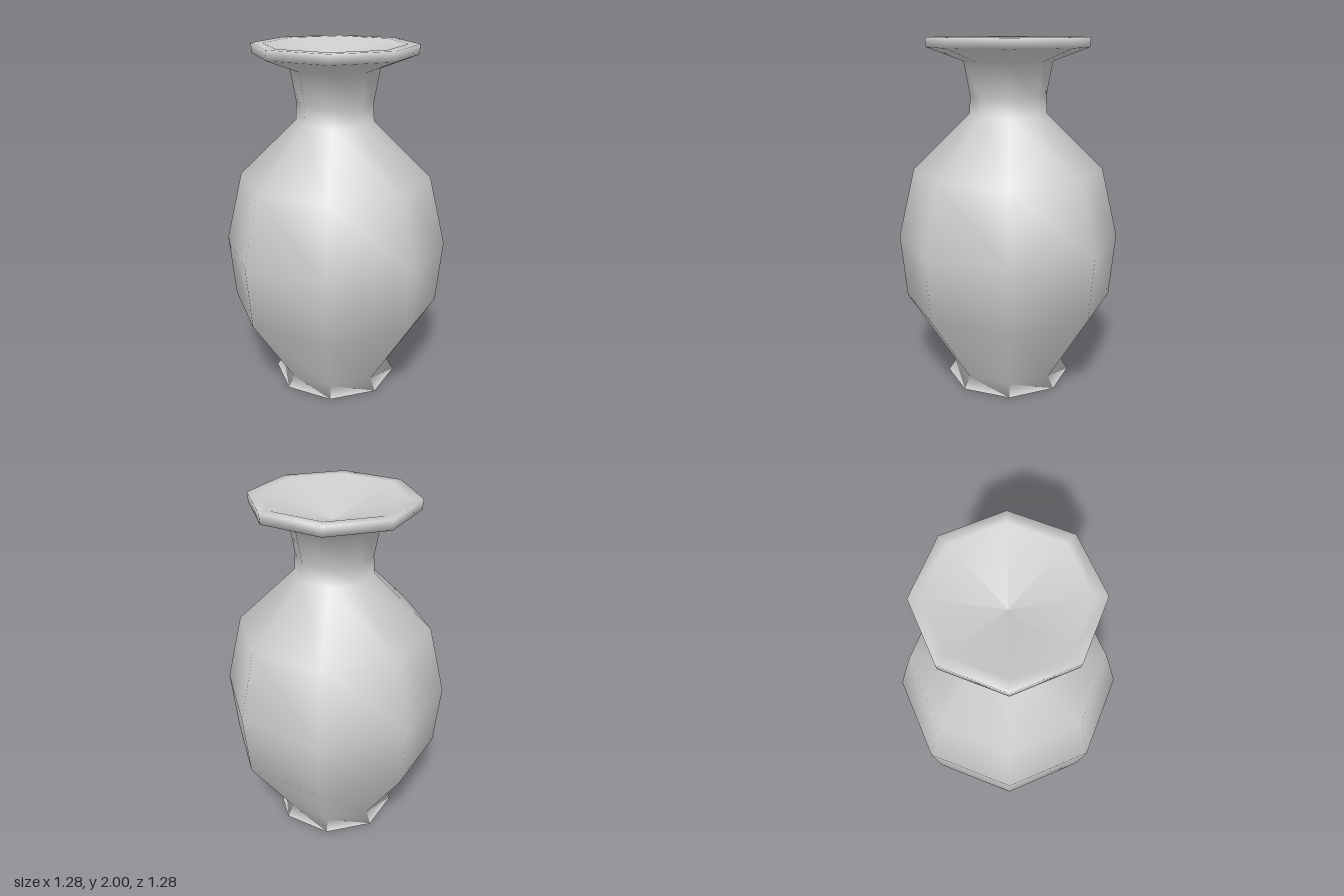
import * as THREE from 'three';

// Eight-sided turned vase with smooth shading
export function createModel() {
  const group = new THREE.Group();
  group.name = 'vase';

  // Radius and height pairs, from under the foot up and over the lip
  const profile = [
    [0, 0.085], [0.28, 0.085],                 // recessed underside
    [0.365, 0], [0.325, 0.065],                // flared foot
    [0.605, 0.495], [0.64, 0.86], [0.545, 1.26], // belly and shoulder
    [0.22, 1.58], [0.215, 1.68], [0.25, 1.87], // neck
    [0.455, 1.945], [0.46, 2], [0.395, 2],     // lip
    [0, 1.87],                                 // dished mouth
  ].map(([r, y]) => new THREE.Vector2(r, y));

  const body = new THREE.Mesh(
    new THREE.LatheGeometry(profile, 8),
    new THREE.MeshStandardMaterial({ color: 0xcccccc })
  );
  body.name = 'vaseBody';
  group.add(body);
  return group;
}
